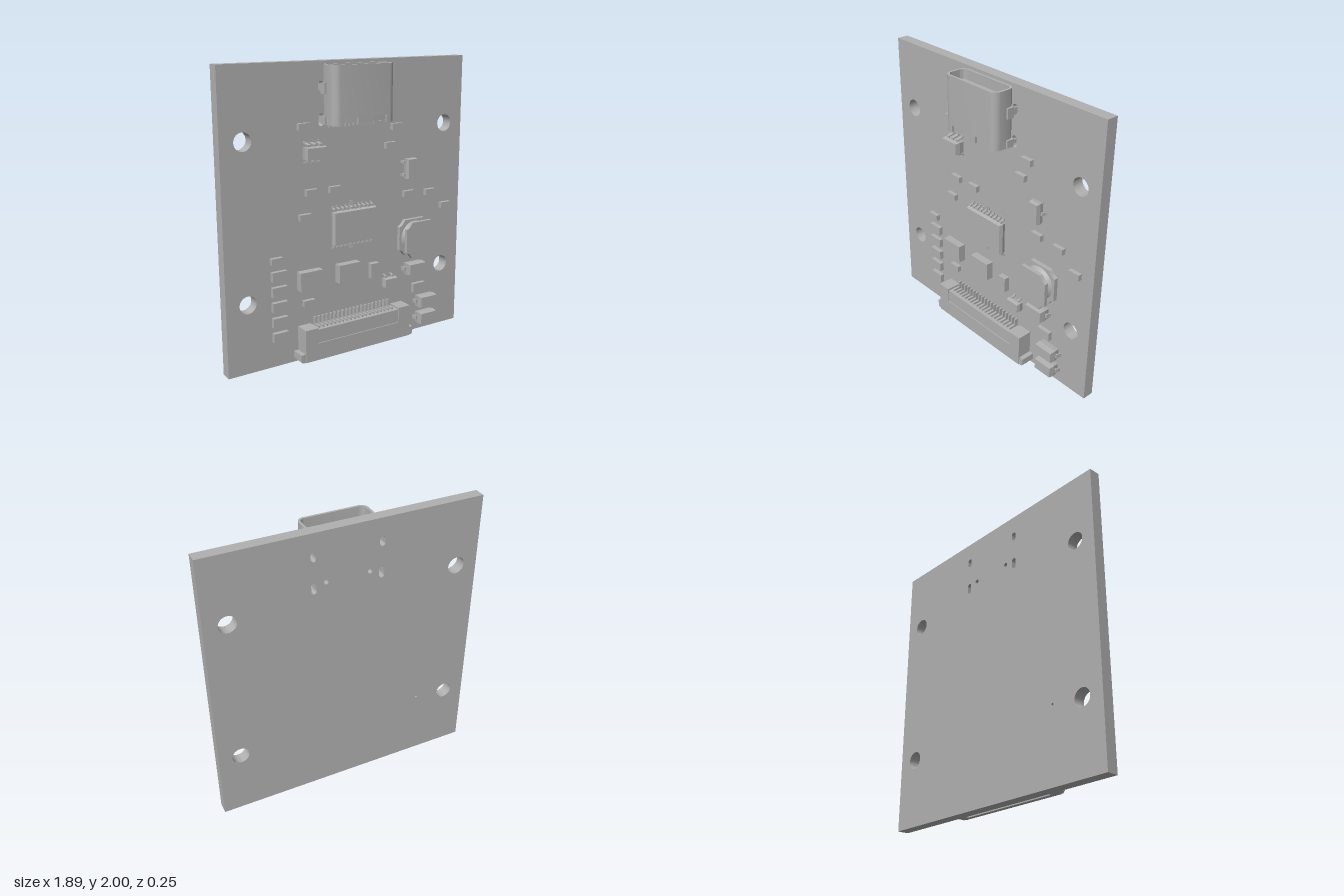
import * as THREE from 'three';
import { toCreasedNormals } from 'three/addons/utils/BufferGeometryUtils.js';

const FRONT = -0.045; // z of the board's component face

export function createModel() {
  const root = new THREE.Group();
  const grey = new THREE.MeshStandardMaterial({ color: 0xb0b0b0 });
  grey.name = 'plain grey';

  const add = (name, geometry, parent = root) => {
    const mesh = new THREE.Mesh(geometry, grey);
    mesh.name = name;
    parent.add(mesh);
    return mesh;
  };
  const group = (name) => {
    const g = new THREE.Group();
    g.name = name;
    root.add(g);
    return g;
  };
  // Box given by its limits
  const block = (name, x0, x1, y0, y1, z0, z1, parent) =>
    add(name, new THREE.BoxGeometry(x1 - x0, y1 - y0, z1 - z0)
      .translate((x0 + x1) / 2, (y0 + y1) / 2, (z0 + z1) / 2), parent);
  const extrude = (shape, depth, curveSegments = 12) => toCreasedNormals(
    new THREE.ExtrudeGeometry(shape, { depth, bevelEnabled: false, curveSegments }), 0.6);
  const poly = (pts) => new THREE.Shape(pts.map(([x, y]) => new THREE.Vector2(x, y)));

  // Rounded rectangle centred on (x, y)
  const rounded = (Type, x, y, w, h, r) => {
    const p = new Type(), a = w / 2 - r, b = h / 2 - r;
    p.absarc(x + a, y + b, r, 0, Math.PI / 2);
    p.absarc(x - a, y + b, r, Math.PI / 2, Math.PI);
    p.absarc(x - a, y - b, r, Math.PI, Math.PI * 1.5);
    p.absarc(x + a, y - b, r, Math.PI * 1.5, Math.PI * 2);
    p.closePath();
    return p;
  };

  // Moulded chip body whose front and back faces taper in from the mid line
  const moulded = (name, x, y, w, h, z0, z1, inset, parent) => {
    const g = new THREE.BoxGeometry(w, h, z1 - z0, 1, 1, 2).toNonIndexed();
    const p = g.attributes.position;
    for (let i = 0; i < p.count; i++) {
      if (Math.abs(p.getZ(i)) > 1e-6) {
        p.setX(i, p.getX(i) - Math.sign(p.getX(i)) * inset);
        p.setY(i, p.getY(i) - Math.sign(p.getY(i)) * inset);
      }
    }
    g.computeVertexNormals();
    return add(name, g.translate(x, y, (z0 + z1) / 2), parent);
  };

  // Bent lead leaving a body at (x, y) in direction (dx, dy)
  const lead = (x, y, dx, dy, width, length, rise, parent) => {
    const t = Math.min(0.009, rise * 0.4), a = length * 0.3, b = length * 0.55;
    const g = extrude(poly([[-0.01, rise - t], [a, rise - t], [b, 0], [length, 0],
      [length, t], [b + t * 0.7, t], [a + t * 0.7, rise], [-0.01, rise]]), width);
    const u = new THREE.Vector3(dx, dy, 0), v = new THREE.Vector3(0, 0, 1);
    const w = new THREE.Vector3().crossVectors(u, v);
    g.translate(0, 0, -width / 2).applyMatrix4(new THREE.Matrix4().makeBasis(u, v, w));
    add('lead', g.translate(x, y, FRONT), parent);
  };

  // Board with mounting holes, shell slots and locating holes
  const board = poly([[-0.945, 0], [0.945, 0], [0.945, 2], [-0.945, 2]]);
  const hole = (x, y, r) => board.holes.push(new THREE.Path().absarc(x, y, r, 0, Math.PI * 2, true));
  for (const s of [-1, 1]) {
    hole(s * 0.79, 0.475, 0.06);
    hole(s * 0.79, 1.53, 0.06);
    hole(s * 0.15, 1.65, 0.016);
    board.holes.push(rounded(THREE.Path, s * 0.232, 1.84, 0.036, 0.064, 0.0175));
    board.holes.push(rounded(THREE.Path, s * 0.232, 1.625, 0.036, 0.08, 0.0175));
  }
  hole(-0.555, 0.5, 0.008);
  add('board', extrude(board, 0.08, 20).translate(0, 0, -0.125));

  // Plain chip components: x, y, width, height, thickness
  const chips = group('chipComponents');
  const small = [[-0.37, 1.595], [0.36, 1.54], [0.31, 1.415], [-0.32, 1.16], [-0.14, 1.16], [-0.37, 1],
    [0.47, 1.055], [0.66, 1.045], [0.805, 0.93], [-0.585, 0.74], [-0.35, 0.405]]
    .map(([x, y]) => [x, y, 0.085, 0.043, 0.03]);
  const medium = [0.635, 0.53, 0.425, 0.318, 0.212].map((y) => [-0.57, y, 0.108, 0.065, 0.03]);
  for (const [x, y, w, h, t] of [...small, ...medium, [0.575, 0.337, 0.108, 0.065, 0.03],
    [0.175, 0.54, 0.065, 0.108, 0.04], [-0.345, 0.57, 0.17, 0.13, 0.055], [-0.045, 0.57, 0.17, 0.13, 0.055]]) {
    block('chip', x - w / 2, x + w / 2, y - h / 2, y + h / 2, FRONT, FRONT + t, chips);
  }

  // Main controller with ten leads a side and a longer centre pair
  const chip = group('controller');
  moulded('controllerBody', 0, 0.895, 0.345, 0.235, -0.038, 0.012, 0.008, chip);
  for (let i = 0; i < 10; i++) {
    const x = -0.153 + i * 0.034;
    lead(x, 1.01, 0, 1, 0.012, 0.033, 0.035, chip);
    lead(x, 0.78, 0, -1, 0.012, 0.033, 0.035, chip);
  }
  for (const x of [-0.011, 0.006]) {
    block('centreLead', x - 0.004, x + 0.004, 0.73, 1.065, FRONT, -0.035, chip);
  }

  // Six-lead package
  const six = group('sixLeadChip');
  moulded('sixLeadBody', -0.31, 1.425, 0.15, 0.085, -0.03, 0.04, 0.005, six);
  for (const dx of [-0.045, 0, 0.045]) {
    lead(-0.31 + dx, 1.465, 0, 1, 0.022, 0.034, 0.055, six);
    lead(-0.31 + dx, 1.385, 0, -1, 0.022, 0.034, 0.055, six);
  }

  // Three-lead transistors
  const upper = group('upperTransistor');
  moulded('transistorBody', 0.47, 1.238, 0.08, 0.147, -0.038, 0.02, 0.005, upper);
  lead(0.43, 1.287, -1, 0, 0.022, 0.02, 0.03, upper);
  lead(0.43, 1.195, -1, 0, 0.022, 0.02, 0.03, upper);
  lead(0.51, 1.238, 1, 0, 0.022, 0.02, 0.03, upper);
  const lower = group('lowerTransistor');
  moulded('transistorBody', 0.302, 0.433, 0.11, 0.067, -0.038, 0.015, 0.005, lower);
  lead(0.273, 0.465, 0, 1, 0.014, 0.025, 0.03, lower);
  lead(0.331, 0.465, 0, 1, 0.014, 0.025, 0.03, lower);
  lead(0.302, 0.4, 0, -1, 0.014, 0.018, 0.03, lower);

  // Diodes
  for (const [x, y] of [[0.52, 0.502], [0.63, 0.23], [0.63, 0.103]]) {
    const d = group('diode');
    moulded('diodeBody', x, y, 0.147, 0.086, FRONT, 0.035, 0.005, d);
    for (const s of [-1, 1]) lead(x + s * 0.073, y, s, 0, 0.03, 0.018, 0.035, d);
  }

  // Wound inductor: two notched flanges on a waisted core
  const coil = group('inductor');
  const quarter = [[0.132, 0.085], [0.11, 0.095], [0.097, 0.113], [0.085, 0.13]];
  const flange = poly([
    ...quarter, ...[...quarter].reverse().map(([x, y]) => [-x, y]),
    ...quarter.map(([x, y]) => [-x, -y]), ...[...quarter].reverse().map(([x, y]) => [x, -y])]);
  add('outerFlange', extrude(flange, 0.025).translate(0.522, 0.735, 0.045), coil);
  add('innerFlange', extrude(flange, 0.03).translate(0.522, 0.735, FRONT), coil);
  const waist = [[0.118, -0.016], [0.1, 0], [0.093, 0.015], [0.1, 0.032], [0.118, 0.046]]
    .map(([r, z]) => new THREE.Vector2(r, z));
  add('coilCore', new THREE.LatheGeometry(waist, 40).rotateX(Math.PI / 2).scale(1, 1, 1)
    .translate(0.522, 0.735, 0), coil);

  // Ribbon cable connector with its mouth facing down
  const ribbon = group('ribbonConnector');
  const mouth = poly([[-0.43, FRONT], [0.43, FRONT], [0.43, 0.062], [-0.43, 0.062]]);
  mouth.holes.push(rounded(THREE.Path, 0, 0.012, 0.76, 0.035, 0.01));
  const yExtrude = (shape, y0, y1) => extrude(shape, y1 - y0).rotateX(-Math.PI / 2)
    .scale(1, 1, 1).rotateZ(Math.PI).rotateY(0).rotateX(Math.PI).rotateY(Math.PI).translate(0, y0, 0);
  // Shape (x, z) swept upward along y from y0 to y1
  const sweepUp = (shape, y0, y1) => {
    const g = new THREE.ExtrudeGeometry(shape, { depth: y1 - y0, bevelEnabled: false, curveSegments: 8 });
    g.rotateX(Math.PI / 2).translate(0, y1, 0);
    return toCreasedNormals(g, 0.6);
  };
  add('connectorMouth', sweepUp(mouth, 0.02, 0.14), ribbon);
  block('connectorBack', -0.43, 0.43, 0.14, 0.235, FRONT, 0.055, ribbon);
  for (const s of [-1, 1]) {
    const x = s * 0.382;
    block('connectorShoulder', x - 0.048, x + 0.048, 0.14, 0.25, FRONT, 0.062, ribbon);
    const lip = poly([[0.43, 0.02], [0.452, 0.02], [0.464, 0.032], [0.464, 0.08], [0.43, 0.08]]
      .map(([a, b]) => [s * a, b]));
    add('connectorLip', extrude(lip, 0.1).translate(0, 0, FRONT), ribbon);
  }
  for (let i = 0; i < 20; i++) {
    const x = -0.305 + i * 0.0318;
    block('contactPin', x - 0.005, x + 0.005, 0.23, 0.295, FRONT, -0.02, ribbon);
    block('contactFin', x - 0.005, x + 0.005, 0.23, 0.25, -0.02, 0.03, ribbon);
  }

  // Cable socket: open rounded shell, inner tongue, cut rear edge and tabs
  const socket = group('cableSocket');
  const shell = rounded(THREE.Shape, 0, 0.042, 0.47, 0.166, 0.05);
  shell.holes.push(rounded(THREE.Path, 0, 0.042, 0.438, 0.134, 0.036));
  add('socketShell', sweepUp(shell, 1.65, 1.98), socket);
  add('socketCore', sweepUp(rounded(THREE.Shape, 0, 0.042, 0.437, 0.133, 0.036), 1.615, 1.68), socket);
  add('socketTongue', sweepUp(rounded(THREE.Shape, 0, 0.04, 0.35, 0.03, 0.014), 1.68, 1.94), socket);
  block('rearTab', -0.055, 0.055, 1.6, 1.65, 0.109, 0.125, socket);
  for (const s of [-1, 1]) {
    const corner = new THREE.Shape();
    corner.moveTo(0.165, 0.125).lineTo(0.185, 0.125).absarc(0.185, 0.075, 0.05, Math.PI / 2, 0, true);
    corner.lineTo(0.235, -0.035).lineTo(0.219, -0.035).lineTo(0.219, 0.075);
    corner.absarc(0.185, 0.075, 0.034, 0, Math.PI / 2, false).lineTo(0.165, 0.109);
    const g = sweepUp(corner, 1.6, 1.65);
    if (s < 0) g.rotateZ(Math.PI).translate(0, 3.25, 0);
    add('rearCorner', g, socket);
    for (const [y0, y1] of [[1.795, 1.865], [1.605, 1.655]]) {
      const a = s * 0.229, b = s * 0.248;
      block('shellTab', Math.min(a, b), Math.max(a, b), y0, y1, -0.02, 0.03, socket);
      block('shellLeg', s * 0.232 - 0.006, s * 0.232 + 0.006, y0 + 0.012, y1 - 0.012, -0.06, -0.02, socket);
    }
  }
  for (let i = 0; i < 12; i++) {
    const x = -0.172 + i * 0.0313;
    block('socketPin', x - 0.006, x + 0.006, 1.57, 1.63, FRONT, -0.03, socket);
  }
  return root;
}
